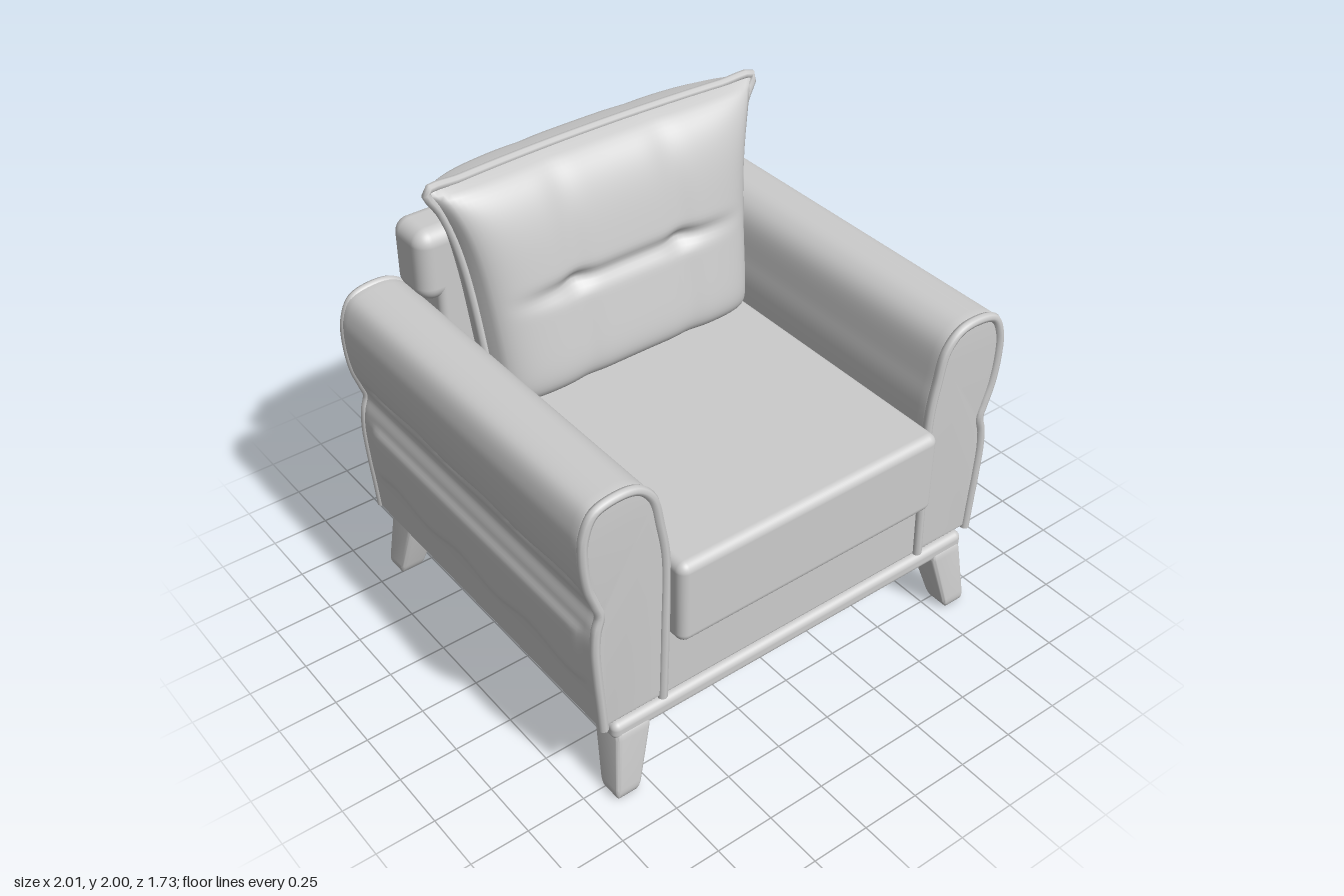
import * as THREE from 'three';
import { RoundedBoxGeometry } from 'three/addons/geometries/RoundedBoxGeometry.js';
import { toCreasedNormals } from 'three/addons/utils/BufferGeometryUtils.js';

const fabric = new THREE.MeshStandardMaterial({ name: 'light grey', color: 0xcccccc });

function add(parent, name, geometry) {
  const mesh = new THREE.Mesh(geometry, fabric);
  mesh.name = name;
  parent.add(mesh);
  return mesh;
}

// Rounded box given by its limits on each axis
function block(parent, name, [x0, x1], [y0, y1], [z0, z1], radius) {
  const mesh = add(parent, name, new RoundedBoxGeometry(x1 - x0, y1 - y0, z1 - z0, 5, radius));
  mesh.position.set((x0 + x1) / 2, (y0 + y1) / 2, (z0 + z1) / 2);
  return mesh;
}

// Move every vertex by a rule and refresh the normals
function reshape(geometry, rule) {
  const p = geometry.attributes.position;
  const v = new THREE.Vector3();
  for (let i = 0; i < p.count; i++) {
    rule(v.fromBufferAttribute(p, i));
    p.setXYZ(i, v.x, v.y, v.z);
  }
  geometry.computeVertexNormals();
  return geometry;
}

function piping(parent, name, points, radius, closed) {
  const curve = new THREE.CatmullRomCurve3(points, closed);
  return add(parent, name, new THREE.TubeGeometry(curve, 160, radius, 8, closed));
}

// Arm outline seen from the front, from the outer bottom over the top to the inner bottom
const armOutline = [
  [0.93, 0.36], [0.94, 0.5], [0.95, 0.62], [0.958, 0.78], [0.95, 0.87], [0.932, 0.94], [0.95, 1.0],
  [0.98, 1.09], [0.997, 1.22], [0.99, 1.33], [0.945, 1.415], [0.84, 1.44], [0.75, 1.425],
  [0.685, 1.36], [0.65, 1.22], [0.625, 1.06], [0.63, 0.7], [0.64, 0.36],
];
const step = (a, b, x) => THREE.MathUtils.smoothstep(x, a, b);

function makeArm(side) {
  const arm = new THREE.Group();
  const curve = new THREE.SplineCurve(armOutline.map(([x, y]) => new THREE.Vector2(x * side, y)));
  const shape = new THREE.Shape(curve.getPoints(110));
  const bevel = 0.025;
  const geometry = new THREE.ExtrudeGeometry(shape, {
    depth: 1.57, steps: 48, bevelThickness: bevel, bevelSize: bevel, bevelOffset: -bevel, bevelSegments: 4,
  });
  geometry.translate(0, 0, -0.805);
  // Raised padded panel and wavy crease on the outer side
  reshape(geometry, (v) => {
    if (v.x * side < 0.88) return;
    const wave = 0.02 * Math.sin(v.z * 13);
    const along = step(-0.76, -0.7, v.z) * (1 - step(0.68, 0.74, v.z));
    const panel = step(0.55, 0.6, v.y + wave) * (1 - step(0.81, 0.86, v.y)) * along;
    const crease = Math.exp(-(((v.y - 1.02 - wave * 0.7) / 0.02) ** 2)) * along;
    v.x += side * (0.012 * panel - 0.014 * crease);
  });
  add(arm, 'armBody', toCreasedNormals(geometry, 0.7));
  // Welts round the front and rear ends
  for (const [name, z] of [['frontWelt', 0.785], ['rearWelt', -0.815]]) {
    const points = armOutline.map(([x, y]) =>
      new THREE.Vector3(side * (0.8 + (x - 0.8) * 0.93), 0.36 + (y - 0.36) * 0.99, z));
    piping(arm, name, points, 0.02, false);
  }
  arm.name = side > 0 ? 'leftArm' : 'rightArm';
  return arm;
}

// Splayed leg tapering toward the foot
function makeLeg(sx, sz) {
  const geometry = new RoundedBoxGeometry(1, 1, 1, 4, 0.15);
  reshape(geometry, (v) => {
    const t = v.y + 0.5;
    const x = THREE.MathUtils.lerp(0.855, 0.795, t) + v.x * THREE.MathUtils.lerp(0.11, 0.165, t);
    const z = THREE.MathUtils.lerp(0.79, 0.73, t) + v.z * THREE.MathUtils.lerp(0.11, 0.165, t);
    v.set(x, t * 0.33, z);
  });
  // Turning by quarter steps keeps the faces outward on every corner
  const leg = new THREE.Group();
  const source = geometry.attributes.position;
  const index = geometry.index;
  for (let i = 0; i < source.count; i++) source.setXYZ(i, source.getX(i) * sx, source.getY(i), source.getZ(i) * sz);
  const count = index ? index.count : source.count;
  if (sx * sz < 0) {
    const order = [];
    for (let i = 0; i < count; i += 3) {
      const at = (k) => (index ? index.getX(k) : k);
      order.push(at(i), at(i + 2), at(i + 1));
    }
    geometry.setIndex(order);
  }
  geometry.computeVertexNormals();
  add(leg, 'legPost', toCreasedNormals(geometry, 0.9));
  leg.name = (sz > 0 ? 'front' : 'rear') + (sx > 0 ? 'LeftLeg' : 'RightLeg');
  return leg;
}

// Point on the pillow's seam plane; u runs across and v upward, both from -1 to 1
function pillowSeam(u, v) {
  const t = (v + 1) / 2;
  const width = 0.61 + 0.05 * t + 0.1 * t ** 5;
  const sag = 1 - u * u;
  return new THREE.Vector3(
    u * width,
    1.025 + 0.95 * t + sag * (0.02 * (1 - t) - 0.01 * t),
    -0.33 - 0.14 * t - 0.05 * t * sag,
  );
}

function makePillow() {
  const pillow = new THREE.Group();
  pillow.name = 'backPillow';
  for (const face of [1, -1]) {
    const geometry = reshape(new THREE.PlaneGeometry(2, 2, 64, 56), (p) => {
      const u = p.x * face, v = p.y;
      const edge = (1 - Math.abs(u) ** 6) * (1 - Math.abs(v) ** (v < 0 ? 10 : 4));
      const puff = Math.sqrt(Math.max(edge, 0));
      p.copy(pillowSeam(u, v));
      // Tufted creases on the front
      const row = Math.exp(-(((p.y - 1.49) / 0.035) ** 2)) * (1 - step(0.3, 0.6, Math.abs(p.x)));
      const column = Math.exp(-(((Math.abs(p.x) - 0.25) / 0.06) ** 2));
      const dent = 0.025 * row + 0.012 * column + 0.02 * row * column;
      p.z += face > 0 ? puff * (0.165 - dent) : -puff * (0.28 - 0.01 * column);
    });
    add(pillow, face > 0 ? 'pillowFront' : 'pillowBack', geometry);
  }
  // Piping round the seam
  const rim = [];
  for (const [u0, v0, u1, v1] of [[-1, -1, 1, -1], [1, -1, 1, 1], [1, 1, -1, 1], [-1, 1, -1, -1]])
    for (let i = 0; i < 10; i++)
      rim.push(pillowSeam(u0 + (u1 - u0) * i / 10, v0 + (v1 - v0) * i / 10));
  piping(pillow, 'pillowPiping', rim, 0.018, true);
  return pillow;
}

export function createModel() {
  const chair = new THREE.Group();
  chair.name = 'armchair';

  // Frame
  block(chair, 'basePlinth', [-0.89, 0.89], [0.28, 0.36], [-0.83, 0.81], 0.03);
  block(chair, 'seatFrame', [-0.68, 0.68], [0.35, 0.72], [-0.8, 0.78], 0.02);
  block(chair, 'lowerBack', [-0.645, 0.645], [0.36, 1.5], [-0.865, -0.64], 0.03);
  block(chair, 'upperBack', [-0.72, 0.72], [1.36, 1.675], [-0.865, -0.64], 0.065);

  // Cushions
  block(chair, 'seatCushion', [-0.625, 0.625], [0.66, 1.035], [-0.66, 0.865], 0.04);
  chair.add(makePillow());

  for (const side of [1, -1]) {
    chair.add(makeArm(side));
    for (const end of [1, -1]) chair.add(makeLeg(side, end));
  }
  return chair;
}
